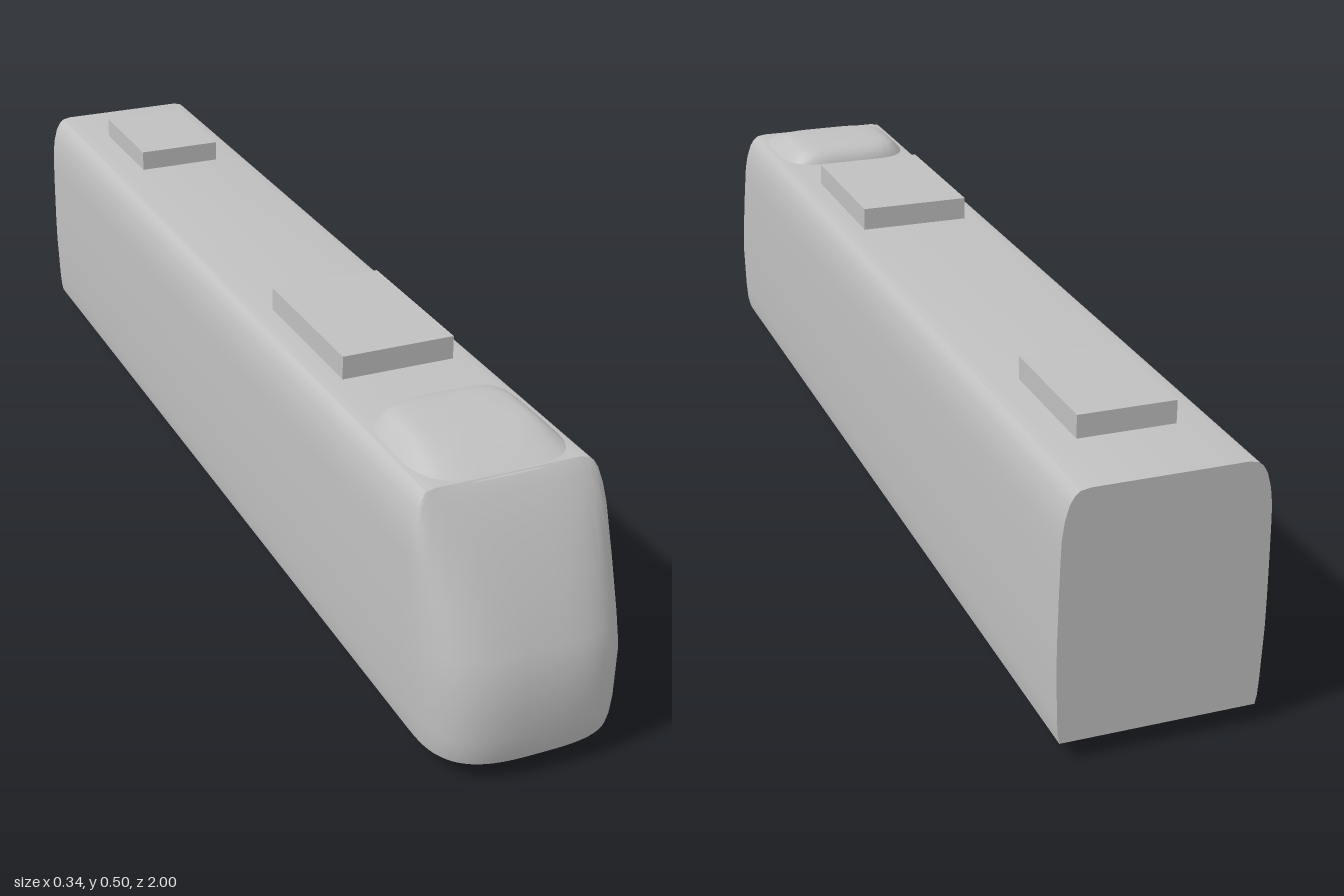
import * as THREE from 'three';
import { toCreasedNormals } from 'three/addons/utils/BufferGeometryUtils.js';

// Closed solid from horizontal rings, listed bottom to top (each ring: array of [x, y, z])
function loft(rings, crease) {
  const n = rings[0].length;
  const pos = [];
  const idx = [];
  rings.forEach(r => r.forEach(p => pos.push(...p)));
  for (let i = 0; i < rings.length - 1; i++) {
    for (let j = 0; j < n; j++) {
      const k = (j + 1) % n;
      const a = i * n + j, b = i * n + k, c = a + n, d = b + n;
      idx.push(a, c, b, b, c, d);
    }
  }
  // flat caps, fanned from a centre point
  [0, rings.length - 1].forEach(level => {
    const ring = rings[level];
    const zs = ring.map(p => p[2]);
    const centre = pos.length / 3;
    pos.push(0, ring[0][1], (Math.min(...zs) + Math.max(...zs)) / 2);
    for (let j = 0; j < n; j++) {
      const a = level * n + j, b = level * n + (j + 1) % n;
      if (level === 0) idx.push(centre, a, b);
      else idx.push(centre, b, a);
    }
  });
  const g = new THREE.BufferGeometry();
  g.setAttribute('position', new THREE.Float32BufferAttribute(pos, 3));
  g.setIndex(idx);
  return toCreasedNormals(g, crease);
}

// Signed power used for rounded-rectangle plan curves
const spow = (v, e) => Math.sign(v) * Math.pow(Math.abs(v), e);

export function createModel() {
  const model = new THREE.Group();
  const grey = new THREE.MeshStandardMaterial({ color: 0xc0c0c0 });
  grey.name = 'body grey';

  const add = (name, geometry, x = 0, y = 0, z = 0) => {
    const mesh = new THREE.Mesh(geometry, grey);
    mesh.name = name;
    mesh.position.set(x, y, z);
    model.add(mesh);
    return mesh;
  };

  // Carriage body with raked, rounded nose: [height, half width, nose tip z]
  const noseStart = 0.845;
  const levels = [
    [0.035, 0.163, 0.992], [0.05, 0.166, 0.996], [0.08, 0.168, 1.0], [0.17, 0.171, 1.0],
    [0.22, 0.171, 0.982], [0.3, 0.17, 0.945], [0.35, 0.169, 0.917], [0.38, 0.168, 0.9],
    [0.41, 0.164, 0.881], [0.435, 0.157, 0.864], [0.447, 0.15, 0.855], [0.455, 0.141, 0.848],
    [0.458, 0.125, 0.845],
  ];
  const bodyRings = levels.map(([y, w, tip]) => {
    const ring = [[w, y, -1]];
    const steps = 40;
    for (let j = 0; j <= steps; j++) {
      const t = Math.PI * j / steps;
      const c = j === steps / 2 ? 0 : Math.cos(t);
      const s = j === steps ? 0 : Math.sin(t);
      ring.push([w * spow(c, 0.63), y, noseStart + (tip - noseStart) * spow(s, 0.63)]);
    }
    ring.push([-w, y, -1]);
    return ring;
  });
  add('body', loft(bodyRings, 0.36));

  // Rounded fairing above the cab: [height, half width, back z, front z]
  const fairing = [
    [0.455, 0.135, 0.585, 0.85], [0.465, 0.125, 0.588, 0.825], [0.475, 0.115, 0.596, 0.795],
    [0.482, 0.107, 0.606, 0.77], [0.486, 0.098, 0.62, 0.745], [0.488, 0.085, 0.635, 0.725],
    [0.489, 0.06, 0.655, 0.705],
  ];
  const fairingRings = fairing.map(([y, w, back, front]) => {
    const ring = [];
    for (let j = 0; j < 48; j++) {
      const t = Math.PI * 2 * j / 48;
      ring.push([
        w * spow(Math.cos(t), 0.5), y,
        (front + back) / 2 + (front - back) / 2 * spow(Math.sin(t), 0.5),
      ]);
    }
    return ring;
  });
  add('cabFairing', loft(fairingRings, 0.7));

  // Roof equipment boxes
  add('frontRoofUnit', new THREE.BoxGeometry(0.206, 0.05, 0.305), 0, 0.475, 0.308);
  add('rearRoofUnit', new THREE.BoxGeometry(0.165, 0.05, 0.235), 0, 0.472, -0.728);

  // Wheels peeking out below the floor
  const wheel = new THREE.CylinderGeometry(0.035, 0.035, 0.013, 32).rotateZ(Math.PI / 2);
  for (const z of [0.62, 0.39]) {
    for (const side of [1, -1]) {
      add(side > 0 ? 'leftWheel' : 'rightWheel', wheel, side * 0.098, 0.036, z);
    }
  }
  return model;
}
